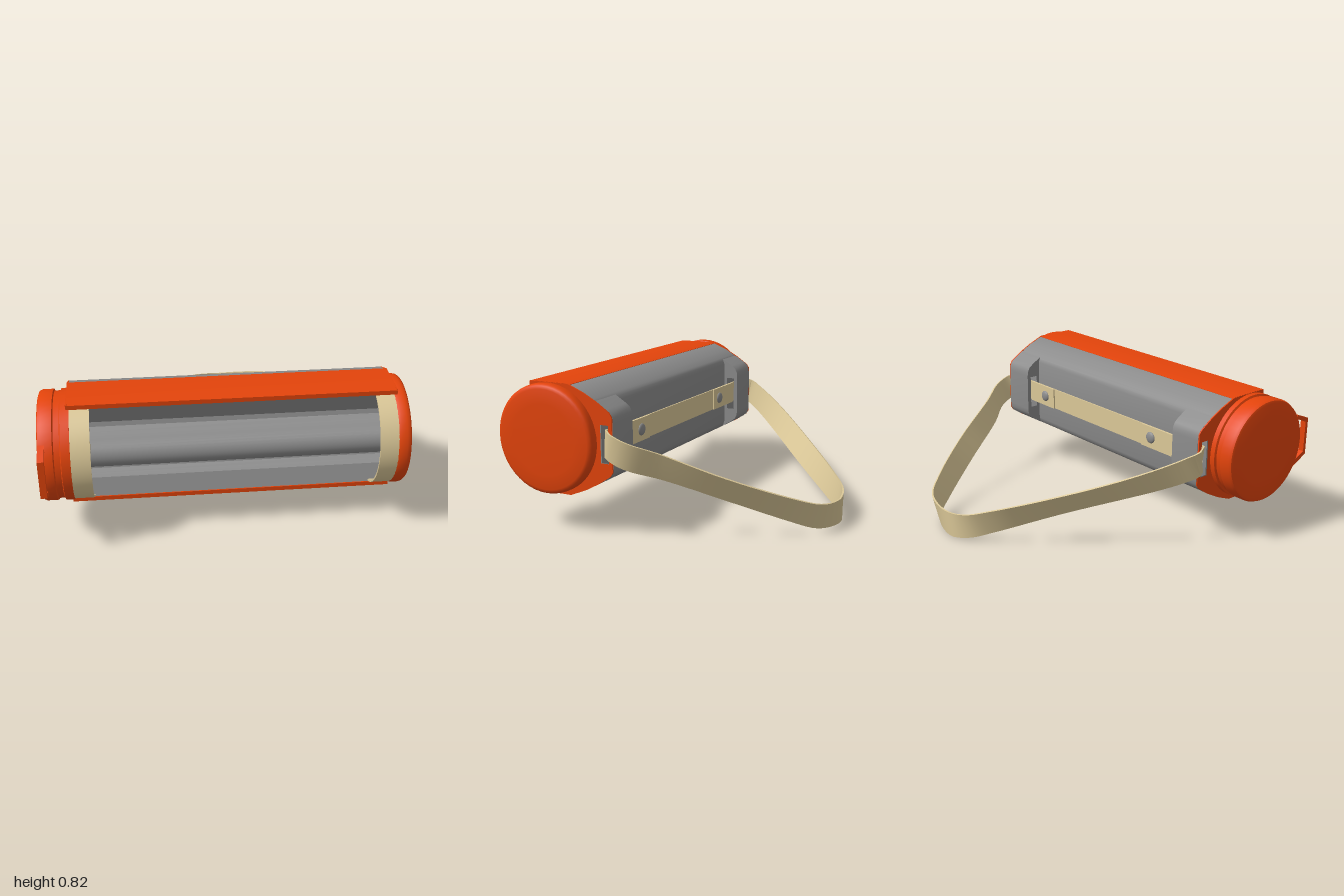
import * as THREE from 'three';
import { toCreasedNormals } from 'three/addons/utils/BufferGeometryUtils.js';

const CY = 0.515, CZ = 0.53; // axis of the lantern body

const mat = (name, color) => {
  const m = new THREE.MeshStandardMaterial({ color });
  m.name = name;
  return m;
};

export function createModel() {
  const orange = mat('orange plastic', 0xe4440b);
  const gray = mat('gray plastic', 0x8c8c8c);
  const cream = mat('cream webbing', 0xdbc898);
  const root = new THREE.Group();
  root.name = 'lantern';

  const add = (name, geo, material) => {
    const m = new THREE.Mesh(geo, material);
    m.name = name;
    root.add(m);
    return m;
  };
  const flipY = pts => pts.map(([z, y]) => [z, 2 * CY - y]).reverse();
  const toV = pts => pts.map(([z, y]) => new THREE.Vector2(-z, y));
  // Points [z, y] along a circular arc, angles measured from +z towards +y
  const arc = (z, y, r, a0, a1, n) => Array.from({ length: n + 1 }, (_, i) => {
    const a = a0 + (a1 - a0) * i / n;
    return [z + r * Math.cos(a), y + r * Math.sin(a)];
  });

  // Side profile given as [z, y] points, extruded along x
  const prism = (name, pts, x0, x1, material, hole) => {
    const shape = new THREE.Shape(toV(pts));
    if (hole) shape.holes.push(new THREE.Path(toV(hole)));
    const g = new THREE.ExtrudeGeometry(shape, { depth: x1 - x0, bevelEnabled: false });
    g.rotateY(Math.PI / 2).translate(x0, 0, 0);
    return add(name, toCreasedNormals(g, 0.6), material);
  };
  // Turned part around the body axis, profile as [radius, x]
  const turned = (name, pts, material) => {
    const g = new THREE.LatheGeometry(pts.map(([r, x]) => new THREE.Vector2(r, x)), 48);
    g.rotateZ(-Math.PI / 2).translate(0, CY, CZ);
    return add(name, toCreasedNormals(g, 0.7), material);
  };
  const box = (name, x0, x1, h, d, y, z) =>
    add(name, new THREE.BoxGeometry(x1 - x0, h, d).translate((x0 + x1) / 2, y, z), cream);

  // Housing: rounded back, and a front with two troughs beside a rounded ridge
  const back = [[0.39, 0.818], [0.30, 0.783], [0.245, 0.752], [0.228, 0.735], [0.22, 0.71]];
  const upperFront = [...arc(0.63, CY, 0.08, 0, 1.75, 8),
    [0.575, 0.605], [0.548, 0.625], [0.54, 0.65], [0.548, 0.675], [0.57, 0.692], [0.605, 0.70], [0.645, 0.80]];
  prism('housing', [...back, ...flipY(back), ...flipY(upperFront), ...upperFront.slice(1)], -0.835, 0.93, gray);

  // Back blocks with slots for the strap
  const blockHalf = [[0.23, 0.745], [0.165, 0.705], [0.14, 0.685], [0.128, 0.66], [0.125, 0.63]];
  const slot = [[0.15, 0.41], [0.20, 0.41], [0.20, 0.62], [0.15, 0.62]];
  const block = [...blockHalf, ...flipY(blockHalf)];
  prism('leftBackBlock', block, 0.73, 0.93, gray, slot);
  prism('rightBackBlock', block, -0.835, -0.64, gray, slot);

  // Orange end plates following the whole outline
  const plateHalf = [[0.645, 0.797], [0.645, 0.824], [0.40, 0.824], [0.30, 0.783], [0.22, 0.74],
    [0.145, 0.69], [0.128, 0.665]];
  const plate = [...plateHalf, ...flipY(plateHalf)];
  prism('leftEndPlate', plate, 0.93, 0.938, orange, slot);
  prism('rightEndPlate', plate, -0.843, -0.835, orange, slot);

  // Top and bottom shells
  const shell = [[0.65, 0.797], [0.65, 0.822], [0.60, 0.825], [0.42, 0.825], [0.39, 0.82], [0.39, 0.797]];
  prism('topShell', shell, -0.84, 0.935, orange);
  prism('bottomShell', flipY(shell), -0.84, 0.935, orange);

  // End caps
  turned('leftCap', [[0, 0.92], [0.302, 0.92], [0.307, 0.935], [0.307, 0.965], [0.304, 0.98],
    [0.296, 0.99], [0.28, 0.995], [0.2, 0.998], [0, 1]], orange);
  turned('rightCap', [[0, -1], [0.2, -0.998], [0.285, -0.995], [0.298, -0.99], [0.305, -0.975], [0.305, -0.915],
    [0.295, -0.91], [0.295, -0.878], [0.307, -0.873], [0.307, -0.825], [0, -0.825]], orange);

  // Hanging loop on the right cap
  prism('capLoop', [[0.79, 0.675], [0.89, 0.635], [0.89, 0.41], [0.79, 0.36]], -0.99, -0.955, orange,
    [[0.80, 0.645], [0.87, 0.615], [0.87, 0.43], [0.80, 0.395]]);

  // Thin cream bands curving over both ends of the lamp window
  const band = [...arc(CZ, CY, 0.302, -1.2, 1.2, 28), ...arc(CZ, CY, 0.292, 1.2, -1.2, 28)];
  prism('leftBand', band, 0.82, 0.925, cream);
  prism('rightBand', band, -0.828, -0.72, cream);
  box('bandTab', -0.79, -0.725, 0.035, 0.04, 0.59, 0.69);

  // Hand strap across the back, with doubled ends and studs
  box('handStrap', -0.83, 0.93, 0.13, 0.008, 0.525, 0.17);
  for (const [x0, x1, xs] of [[-0.64, -0.35, -0.43], [0.49, 0.73, 0.58]]) {
    box('strapTab', x0, x1, 0.132, 0.009, 0.525, 0.162);
    const stud = new THREE.SphereGeometry(0.035, 20, 8, 0, Math.PI * 2, 0, Math.PI / 2);
    stud.scale(1, 0.45, 1).rotateX(-Math.PI / 2).translate(xs, 0.525, 0.158);
    add('strapStud', stud, gray);
  }

  // Carrying strap: a ribbon swept along a sloping path
  const path = [[-0.80, 0.17], [-0.84, 0.165], [-0.855, 0.12], [-0.82, 0.05], [-0.74, -0.06], [-0.61, -0.21],
    [-0.35, -0.48], [-0.09, -0.745], [0.02, -0.84], [0.14, -0.882], [0.30, -0.862], [0.39, -0.82],
    [0.49, -0.70], [0.67, -0.42], [0.84, -0.11], [0.94, 0.03], [0.957, 0.10], [0.94, 0.165], [0.89, 0.17]];
  const curve = new THREE.CatmullRomCurve3(path.map(([x, z]) =>
    new THREE.Vector3(x, 0.075 + (z + 0.882) * 0.423, z)), false, 'centripetal');
  const N = 90, rings = [], pos = [];
  for (let i = 0; i <= N; i++) {
    const u = i / N, p = curve.getPointAt(u), t = curve.getTangentAt(u);
    const w0 = new THREE.Vector3(0, 1, 0).addScaledVector(t, -t.y).normalize();
    const n0 = new THREE.Vector3().crossVectors(w0, t);
    const lean = 0.5 * Math.abs(Math.sin(2 * Math.PI * u)); // top edge leans outward on both legs
    const w = w0.clone().multiplyScalar(Math.cos(lean)).addScaledVector(n0, Math.sin(lean));
    const n = new THREE.Vector3().crossVectors(w, t);
    rings.push([[1, -1], [1, 1], [-1, 1], [-1, -1]].map(([a, b]) =>
      p.clone().addScaledVector(n, a * 0.005).addScaledVector(w, b * 0.074)));
  }
  for (let i = 0; i < N; i++)
    for (let j = 0; j < 4; j++) {
      const k = (j + 1) % 4, a = rings[i][j], b = rings[i][k], c = rings[i + 1][k], d = rings[i + 1][j];
      for (const v of [a, b, c, a, c, d]) pos.push(v.x, v.y, v.z);
    }
  const ribbon = new THREE.BufferGeometry();
  ribbon.setAttribute('position', new THREE.Float32BufferAttribute(pos, 3));
  add('carryStrap', toCreasedNormals(ribbon, 0.7), cream);

  return root;
}
